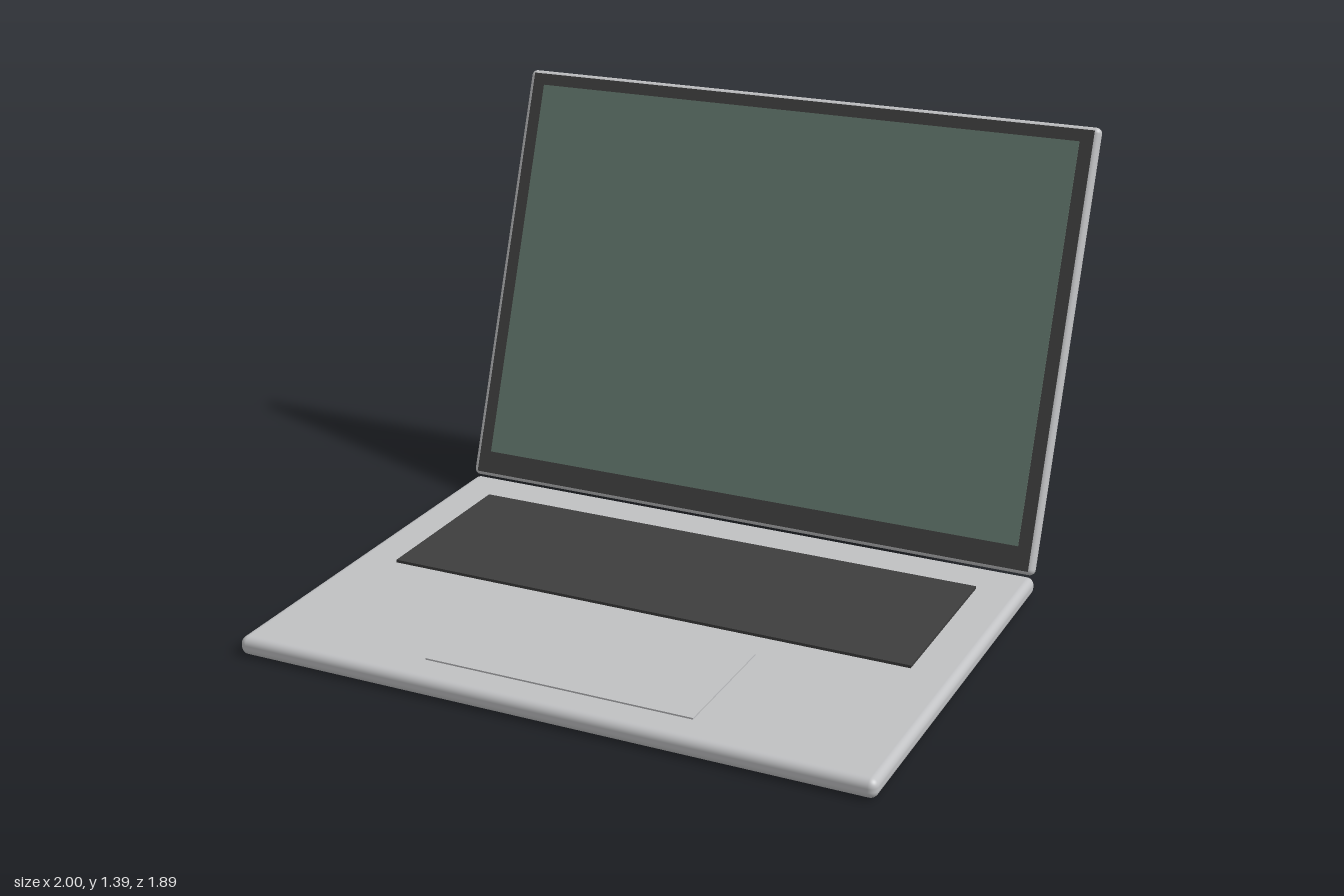
import * as THREE from 'three';
import { RoundedBoxGeometry } from 'three/addons/geometries/RoundedBoxGeometry.js';

const material = (name, color) => {
  const m = new THREE.MeshStandardMaterial({ color });
  m.name = name;
  return m;
};

const add = (parent, name, geometry, mat, x, y, z) => {
  const mesh = new THREE.Mesh(geometry, mat);
  mesh.name = name;
  mesh.position.set(x, y, z);
  parent.add(mesh);
  return mesh;
};

export function createModel() {
  const silver = material('silver casing', 0xc0c1c3);
  const dark = material('dark grey', 0x3e3e3e);
  const glass = material('grey green screen', 0x61756b);

  const laptop = new THREE.Group();
  laptop.name = 'laptop';

  // Base slab with keyboard field and trackpad
  const baseHeight = 0.058;
  const base = new THREE.Group();
  base.name = 'base';
  laptop.add(base);
  add(base, 'baseCasing', new RoundedBoxGeometry(2, baseHeight, 1.41, 5, 0.024), silver, 0, baseHeight / 2, 0.24);
  add(base, 'keyboard', new THREE.BoxGeometry(1.72, 0.009, 0.59), dark, 0, baseHeight + 0.0045, -0.003);
  add(base, 'trackpad', new THREE.BoxGeometry(0.85, 0.005, 0.43), silver, 0, baseHeight + 0.0025, 0.62);

  // Lid leaning back 20 degrees, with bezel and screen on its front face
  const thickness = 0.04;
  const lid = new THREE.Group();
  lid.name = 'lid';
  lid.position.set(0, 0.724, -0.6915);
  lid.rotation.x = -THREE.MathUtils.degToRad(20);
  laptop.add(lid);
  add(lid, 'lidCasing', new RoundedBoxGeometry(2, 1.405, thickness, 5, 0.019), silver, 0, 0, 0);
  add(lid, 'bezel', new THREE.BoxGeometry(1.964, 1.382, 0.006), dark, 0, 0, thickness / 2);
  add(lid, 'screen', new THREE.BoxGeometry(1.88, 1.27, 0.004), glass, 0, 0.0175, thickness / 2 + 0.004);

  return laptop;
}
